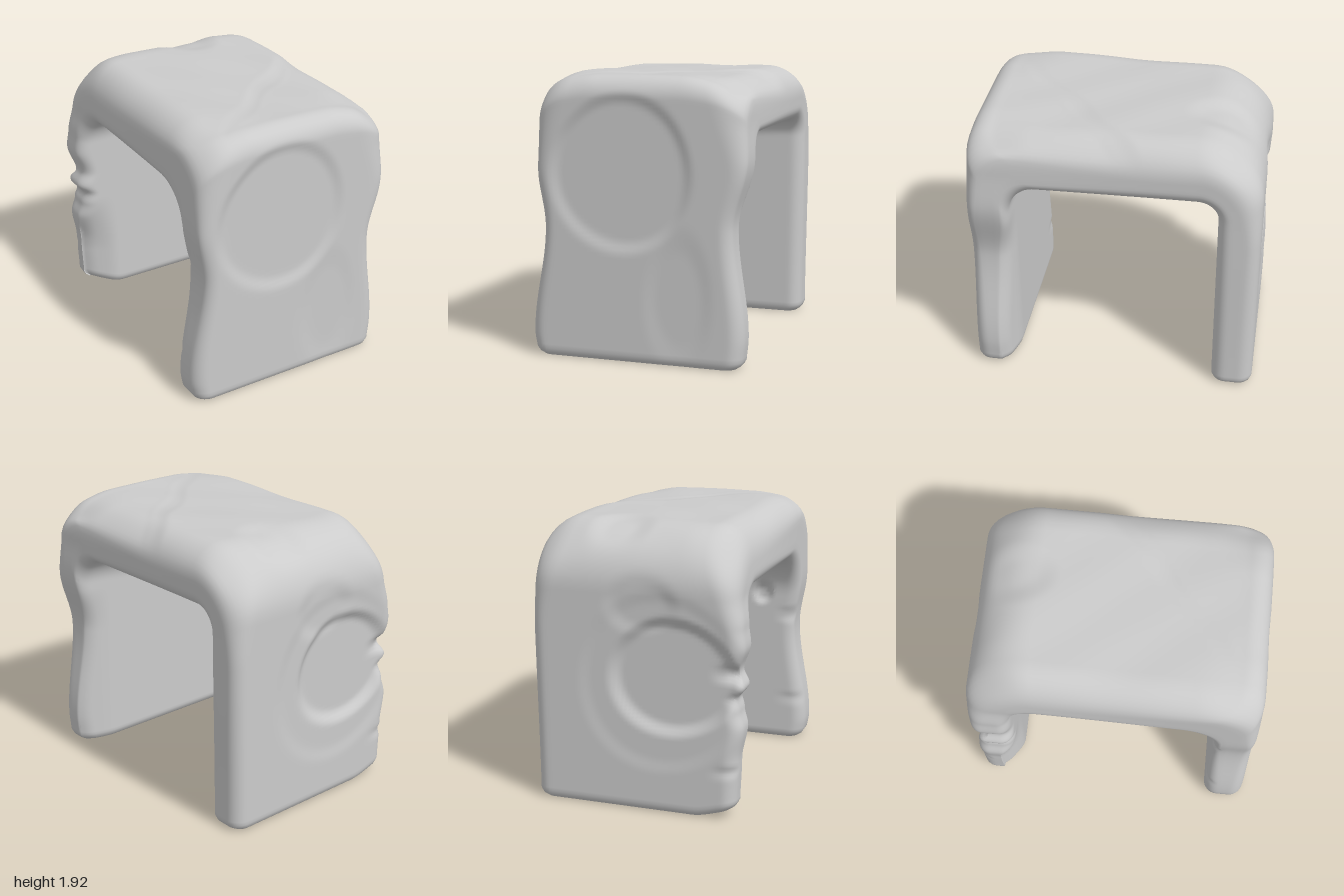
import * as THREE from 'three';
import { toCreasedNormals } from 'three/addons/utils/BufferGeometryUtils.js';

const { smoothstep, lerp, clamp } = THREE.MathUtils;

// piecewise smooth interpolation through [key, value] pairs
function curve(keys, t) {
  if (t <= keys[0][0]) return keys[0][1];
  for (let i = 1; i < keys.length; i++) {
    const [a, va] = keys[i - 1], [b, vb] = keys[i];
    if (t <= b) return lerp(va, vb, smoothstep(t, a, b));
  }
  return keys[keys.length - 1][1];
}

// an upside-down U in (z, y): leg, corner, top, corner, leg
function archLine(zSide, yTop, rFront, rBack) {
  const pts = [];
  const line = (z0, y0, z1, y1, n) => {
    for (let i = 0; i < n; i++) pts.push([lerp(z0, z1, i / n), lerp(y0, y1, i / n)]);
  };
  const arc = (cz, cy, r, a0, n) => {
    for (let i = 0; i < n; i++) {
      const a = a0 + (i / n) * Math.PI / 2;
      pts.push([cz + Math.cos(a) * r, cy + Math.sin(a) * r]);
    }
  };
  line(zSide, 0.05, zSide, yTop - rFront, 60);
  arc(zSide - rFront, yTop - rFront, rFront, 0, 14);
  line(zSide - rFront, yTop, -zSide + rBack, yTop, 60);
  arc(-zSide + rBack, yTop - rBack, rBack, Math.PI / 2, 14);
  line(-zSide, yTop - rBack, -zSide, 0.05, 60);
  pts.push([-zSide, 0.05]);
  // worn bottom edges: two extra rows at each foot
  pts.unshift([zSide, 0], [zSide, 0.02]);
  pts.push([-zSide, 0.02], [-zSide, 0]);
  return pts;
}

// rounded rectangle, counter-clockwise, with its long sides subdivided;
// separate radii for the inner and the outer pair of corners
function ring(w, h, rInner, rOuter) {
  const out = [];
  const corners = [[1, -1, -Math.PI / 2, rInner], [1, 1, 0, rOuter],
    [-1, 1, Math.PI / 2, rOuter], [-1, -1, Math.PI, rInner]];
  const at = ([sx, sy, , r], a) => [sx * (w - r) + Math.cos(a) * r, sy * (h - r) + Math.sin(a) * r];
  corners.forEach((c, k) => {
    for (let i = 0; i <= 8; i++) out.push(at(c, c[2] + (i / 8) * Math.PI / 2));
    const next = corners[(k + 1) % 4], end = at(next, next[2]);
    const start = out[out.length - 1], n = k % 2 ? 48 : 4;
    for (let i = 1; i < n; i++) out.push([lerp(start[0], end[0], i / n), lerp(start[1], end[1], i / n)]);
  });
  return out;
}

// half widths by height for each leg
const frontRight = [[0, 0.72], [0.2, 0.735], [0.92, 0.655], [1.38, 0.75], [1.65, 0.735], [1.92, 0.71]];
const frontLeft = [[0, 0.74], [0.15, 0.76], [0.9, 0.66], [1.3, 0.71], [1.92, 0.71]];
const backRight = [[0, 0.72], [1.3, 0.73], [1.92, 0.74]];
const backLeft = [[0, 0.7], [0.4, 0.71], [0.62, 0.74], [0.74, 0.71], [0.82, 0.69], [0.9, 0.74], [1.0, 0.7],
  [1.17, 0.745], [1.3, 0.73], [1.5, 0.7], [1.92, 0.67]];

function halfWidth(x, y, z) {
  const f = smoothstep(z, -0.8, 0.7);
  return x > 0 ? lerp(curve(backRight, y), curve(frontRight, y), f)
    : lerp(curve(backLeft, y), curve(frontLeft, y), f);
}

// 1 inside an uneven elliptical patch, 0 outside, with a short slope between
function patch(x, y, cx, cy, rx, ry, soft) {
  const dx = (x - cx) / rx, dy = (y - cy) / ry, a = Math.atan2(dy, dx);
  const d = Math.hypot(dx, dy) * (1 + 0.015 * Math.sin(3 * a + 1));
  return 1 - smoothstep(d, 1 - soft, 1 + soft);
}

function ripple(a, b, c) {
  return Math.sin(a * 5.1 + c) * Math.sin(b * 4.3 + a * 2) + 0.5 * Math.sin(a * 11 - b * 9 + c);
}

// weathering; depth runs from -1 on the inner face to 1 on the outer face
function weather(p, depth) {
  const { x, y, z } = p;
  const outer = smoothstep(depth, 0, 1), inner = smoothstep(-depth, 0, 1);
  const low = 1 - smoothstep(y, 1.75, 1.88);
  // shallow worn discs on the outer leg faces
  if (z > 0.7) {
    p.z -= outer * low * 0.022 * patch(x, y, -0.1, 1.27, 0.47, 0.5, 0.1);
    p.z -= outer * 0.01 * patch(x, y, 0.3, 0.45, 0.2, 0.4, 0.3);
    p.z += inner * 0.035 * patch(x, y, -0.42, 1.15, 0.06, 0.07, 0.4);
    // worn inner corner of the front foot
    p.z += inner * 0.05 * smoothstep(x, 0.45, 0.72) * (1 - smoothstep(y, 0.9, 1.25));
  }
  if (z < -0.7) {
    p.z += outer * 0.045 * patch(x, y, -0.27, 0.94, 0.42, 0.37, 0.12);
    p.z += outer * 0.01 * patch(x, y, -0.2, 0.9, 0.56, 0.58, 0.1);
    p.z += outer * 0.015 * patch(x, y, -0.05, 1.42, 0.22, 0.17, 0.3);
    // broken inner corner and raised sole at one foot
    p.z -= inner * 0.11 * smoothstep(-x, 0.45, 0.72) * (1 - smoothstep(y, 0.3, 0.8));
    p.y += 0.06 * smoothstep(-x, 0.4, 0.7) * (1 - smoothstep(y, 0, 0.4));
  }
  // sloping break, ripples and a dip across the top
  const d = (x + 0.3) * 0.64 + (z - 0.7) * 0.77 + 0.02 * Math.sin(x * 13);
  const top = outer * smoothstep(y, 1.5, 1.9);
  const area = top * (1 - smoothstep(Math.abs(z), 0.8, 1));
  p.y -= area * smoothstep(d, -0.06, 0.14) * (0.006 + 0.025 * smoothstep(x, 0.1, 0.75));
  p.y -= area * 0.006 * patch(d, x, 0.02, 0.2, 0.05, 0.5, 0.7);
  p.y -= area * 0.005 * (1 + ripple(x, z, 1));
  p.y -= area * 0.025 * patch(x, z, 0.17, -0.72, 0.16, 0.2, 0.5);
  // the four top corners are worn down further
  p.y -= top * 0.06 * smoothstep(Math.abs(x), 0.3, 0.7) * smoothstep(Math.abs(z), 0.55, 0.95);
  // chipped edges of both legs on one side
  const chip = smoothstep(Math.sin(y * 17 + 3 * Math.sin(y * 5)), 0.1, 1)
    * smoothstep(-x, 0.5, 0.7) * smoothstep(y, 0.25, 0.4) * (1 - smoothstep(y, 0.95, 1.15));
  if (z < 0) p.z += 0.04 * chip * outer;
  else p.z += 0.025 * chip * inner;
}

function stoneGeometry() {
  const outerLine = archLine(1, 1.92, 0.16, 0.42);
  // the underside hangs lower, with wider fillets, toward the model's right
  const innerLeft = archLine(0.71, 1.515, 0.21, 0.14);
  const innerRight = archLine(0.71, 1.48, 0.33, 0.22);
  const rows = outerLine.length;
  const pos = [], index = [];
  let count = 0;
  for (let i = 0; i < rows; i++) {
    const [oz, oy] = outerLine[i];
    const inside = (f) => [0, 1].map((k) => lerp(innerRight[i][k], innerLeft[i][k], f));
    const [mz, my] = inside(0.5);
    const thick = Math.hypot(oz - mz, oy - my);
    const inset = [0.045, 0.015][Math.min(i, rows - 1 - i)] ?? 0;
    const rOuter = lerp(0.1, 0.23, smoothstep(oy, 1.2, 1.9)) - inset * 0.5;
    const section = ring(0.74 - inset, thick / 2 - inset * 0.7, 0.1 - inset * 0.5, rOuter);
    count = section.length;
    for (const [u, v] of section) {
      const t = v / thick + 0.5;
      const [iz, iy] = inside(smoothstep(u, -0.7, 0.7));
      const p = new THREE.Vector3(u, lerp(iy, oy, t), lerp(iz, oz, t));
      p.x = (u / 0.74) * halfWidth(u, p.y, p.z);
      weather(p, clamp(v / (thick / 2 - 0.03), -1, 1));
      pos.push(p.x, p.y, p.z);
    }
  }
  for (let i = 0; i < rows - 1; i++) {
    for (let j = 0; j < count; j++) {
      const k = (j + 1) % count;
      const a = i * count + j, b = i * count + k, c = a + count, d = b + count;
      index.push(a, c, b, b, c, d);
    }
  }
  // soles under both legs
  const first = pos.length / 3, last = (rows - 1) * count;
  pos.push(0, 0, 0.855, 0, 0, -0.855);
  for (let j = 0; j < count; j++) {
    const k = (j + 1) % count;
    index.push(first, j, k, first + 1, last + k, last + j);
  }
  const geo = new THREE.BufferGeometry();
  geo.setAttribute('position', new THREE.Float32BufferAttribute(pos, 3));
  geo.setIndex(index);
  return toCreasedNormals(geo, 0.7);
}

export function createModel() {
  const group = new THREE.Group();
  group.name = 'stoneArch';
  const stone = new THREE.Mesh(stoneGeometry(), new THREE.MeshStandardMaterial({ color: 0xcccccc }));
  stone.name = 'weatheredArchBlock';
  group.add(stone);
  return group;
}
